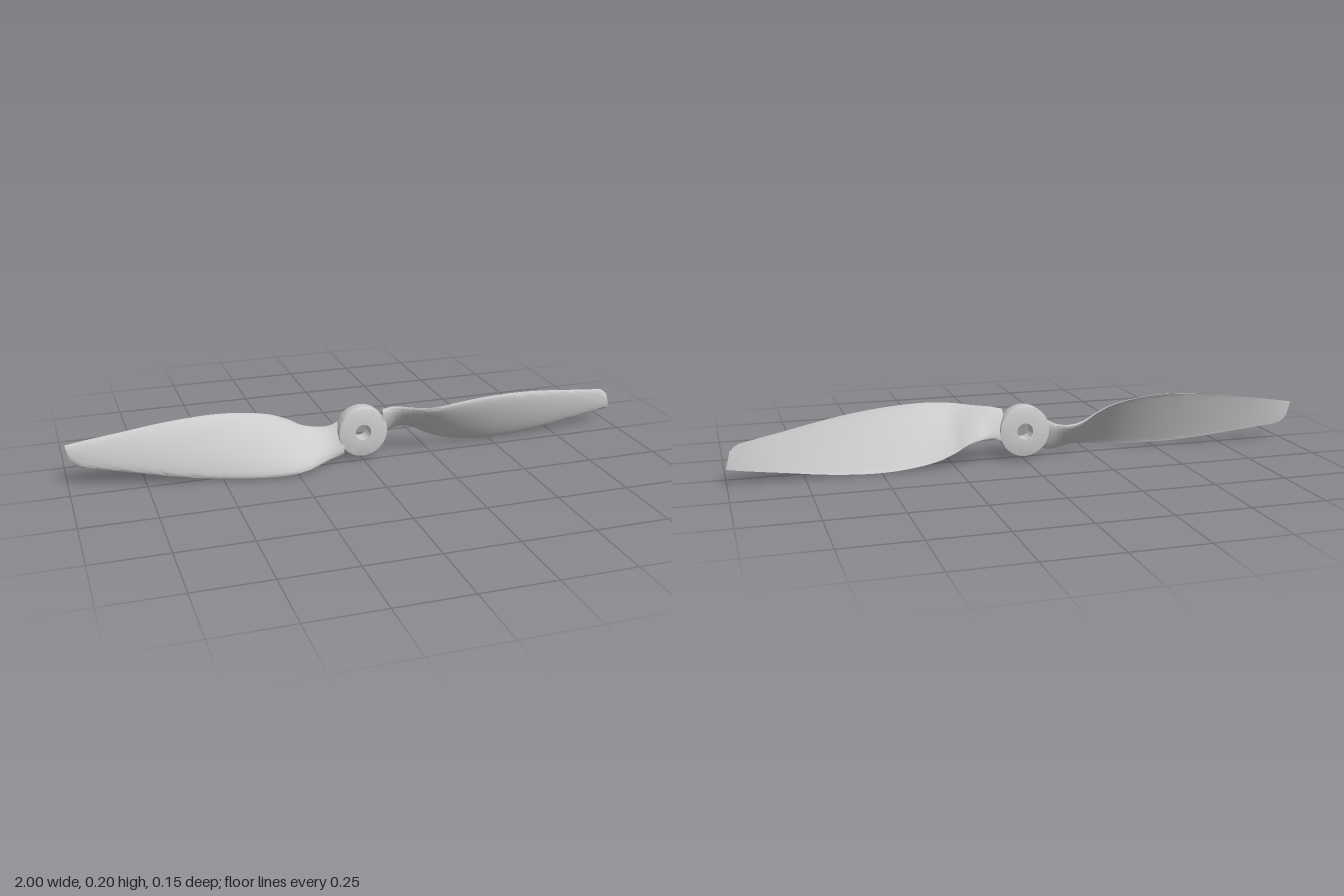
import * as THREE from 'three';
import { toCreasedNormals } from 'three/addons/utils/BufferGeometryUtils.js';

const CY = 0.103; // height of the spin axis
const material = new THREE.MeshStandardMaterial({ color: 0xcccccc });

const edgeCurve = (pts) => new THREE.CatmullRomCurve3(pts.map((p) => new THREE.Vector3(...p)), false, 'centripetal');

// Matching stations along the two long edges of the +x blade
const upperEdge = edgeCurve([
  [0.07, 0.178, -0.004], [0.11, 0.186, 0.004], [0.16, 0.187, 0.035], [0.205, 0.19, 0.062], [0.25, 0.194, 0.073],
  [0.31, 0.199, 0.069], [0.4, 0.201, 0.053], [0.5, 0.198, 0.032], [0.6, 0.19, 0.01], [0.7, 0.177, -0.012],
  [0.8, 0.161, -0.034], [0.9, 0.145, -0.055], [0.96, 0.134, -0.068], [0.985, 0.115, -0.073],
]);
const lowerEdge = edgeCurve([
  [0.07, 0.062, -0.044], [0.11, 0.084, -0.053], [0.16, 0.089, -0.074], [0.205, 0.078, -0.077], [0.25, 0.052, -0.075],
  [0.31, 0.027, -0.072], [0.4, 0.009, -0.069], [0.5, 0.001, -0.066], [0.6, 0.004, -0.066], [0.7, 0.013, -0.067],
  [0.8, 0.027, -0.07], [0.9, 0.041, -0.074], [0.965, 0.051, -0.077], [1.0, 0.057, -0.078],
]);

// Loft thin cambered sections between the edges
function bladeGeometry() {
  const rows = 104, half = 16, ring = half * 2;
  const pos = [], index = [];
  for (let i = 0; i <= rows; i++) {
    const t = i / rows;
    const u = upperEdge.getPoint(t), l = lowerEdge.getPoint(t);
    const chord = u.clone().sub(l);
    const normal = new THREE.Vector3(0, -chord.z, chord.y).normalize();
    const c = Math.hypot(chord.y, chord.z);
    const root = 1 - THREE.MathUtils.smoothstep(t, 0.04, 0.32);
    const front = c * THREE.MathUtils.lerp(0.09, 0.14, root);
    const back = c * THREE.MathUtils.lerp(0.02, -0.11, root);
    for (let j = 0; j < ring; j++) {
      const a = (j / ring) * Math.PI * 2;
      const s = (1 - Math.cos(a)) / 2;
      const bulge = Math.abs(Math.sin(a)) * (j < half ? front : back);
      // small rim thickness keeps the edges from being razor thin
      const rim = Math.sin(a) * 0.002;
      const p = l.clone().addScaledVector(chord, s).addScaledVector(normal, bulge + rim);
      pos.push(p.x, p.y, p.z);
    }
  }
  for (let i = 0; i < rows; i++) {
    for (let j = 0; j < ring; j++) {
      const a = i * ring + j, a1 = i * ring + ((j + 1) % ring);
      index.push(a, a + ring, a1, a1, a + ring, a1 + ring);
    }
  }
  // Close root and tip
  const tip = rows * ring;
  for (let j = 1; j < ring - 1; j++) {
    index.push(0, j, j + 1);
    index.push(tip, tip + j + 1, tip + j);
  }
  const g = new THREE.BufferGeometry();
  g.setAttribute('position', new THREE.Float32BufferAttribute(pos, 3));
  g.setIndex(index);
  return toCreasedNormals(g, 0.8);
}

// Bored hub with slightly eased rims, axis along z
function hubGeometry() {
  const R = 0.088, r = 0.028, z0 = -0.052, z1 = 0.001, b = 0.004;
  const profile = [
    [r, z0], [R - b, z0], [R - b * 0.3, z0 + b * 0.3], [R, z0 + b],
    [R, z1 - b], [R - b * 0.3, z1 - b * 0.3], [R - b, z1], [r, z1], [r, z0],
  ].map(([x, y]) => new THREE.Vector2(x, y));
  const g = new THREE.LatheGeometry(profile, 64);
  g.rotateX(Math.PI / 2);
  return toCreasedNormals(g, 0.6);
}

export function createModel() {
  const model = new THREE.Group();
  model.name = 'propeller';

  const hub = new THREE.Mesh(hubGeometry(), material);
  hub.name = 'hub';
  hub.position.y = CY;
  model.add(hub);

  // Two identical blades, half a turn apart
  const blade = bladeGeometry().translate(0, -CY, 0);
  ['leftBlade', 'rightBlade'].forEach((name, i) => {
    const mesh = new THREE.Mesh(blade, material);
    mesh.name = name;
    mesh.position.y = CY;
    mesh.rotation.z = i * Math.PI;
    model.add(mesh);
  });
  return model;
}
